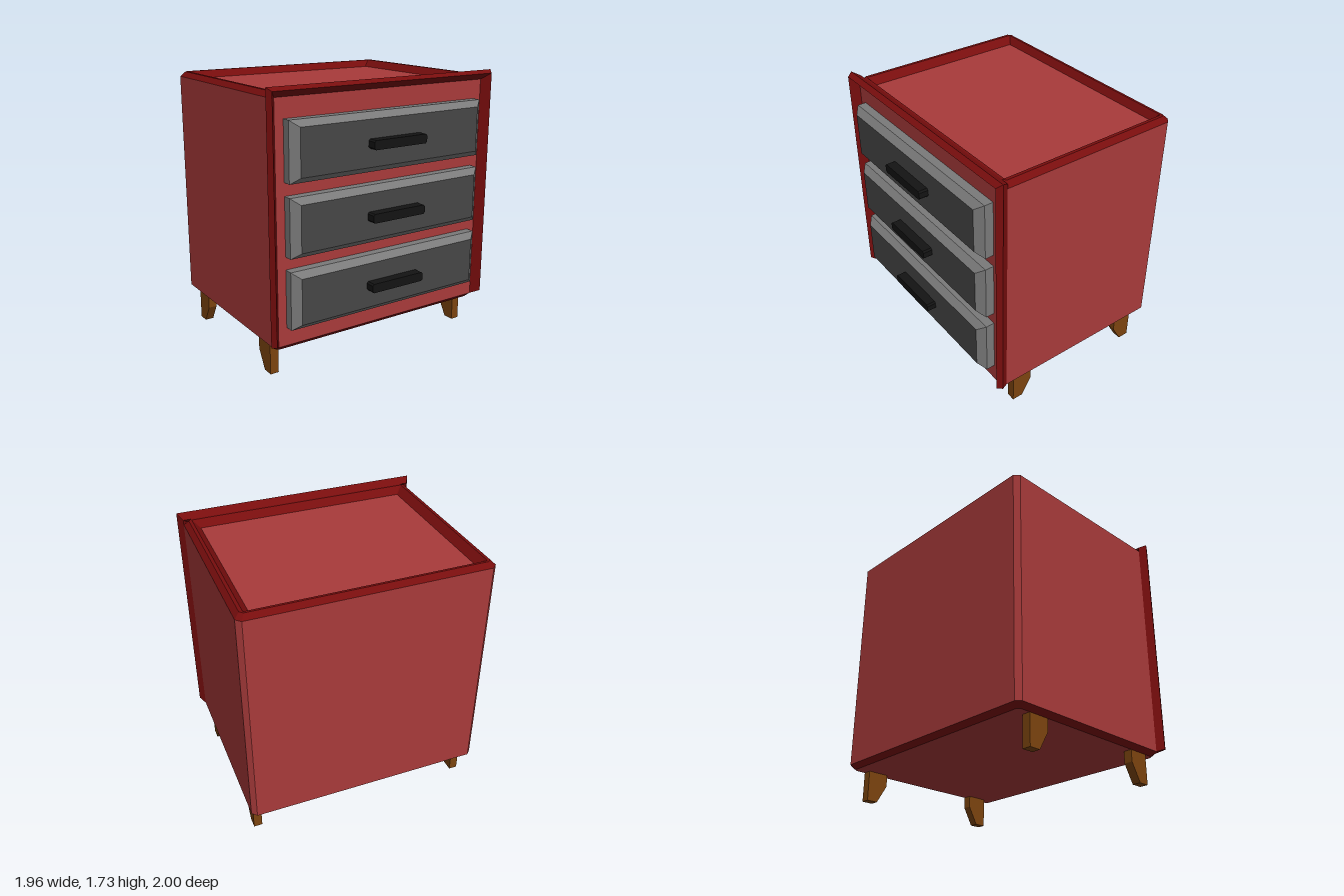
import * as THREE from 'three';

const mat = (name, color) => {
  const m = new THREE.MeshStandardMaterial({ color });
  m.name = name;
  return m;
};

// Flat-faced skin through a list of rings; caps: 's' start, 'e' end
function loft(rings, caps = '') {
  const pos = [];
  const tri = (...pts) => pts.forEach((p) => pos.push(...p));
  const n = rings[0].length;
  for (let r = 0; r < rings.length - 1; r++) {
    const lo = rings[r], hi = rings[r + 1];
    for (let i = 0; i < n; i++) {
      const j = (i + 1) % n;
      tri(lo[i], lo[j], hi[j]);
      tri(lo[i], hi[j], hi[i]);
    }
  }
  const first = rings[0], last = rings[rings.length - 1];
  for (let i = 1; i < n - 1; i++) {
    if (caps.includes('s')) tri(first[0], first[i + 1], first[i]);
    if (caps.includes('e')) tri(last[0], last[i], last[i + 1]);
  }
  const g = new THREE.BufferGeometry();
  g.setAttribute('position', new THREE.Float32BufferAttribute(pos, 3));
  g.computeVertexNormals();
  return g;
}

// Horizontal rectangle with cut corners
const plan = (y, hx, z0, z1, c) => [
  [hx - c, y, z1], [hx, y, z1 - c], [hx, y, z0 + c], [hx - c, y, z0],
  [-hx + c, y, z0], [-hx, y, z0 + c], [-hx, y, z1 - c], [-hx + c, y, z1],
];
// Upright rectangle facing +z
const upright = (z, hx, y, hy) => [[hx, y + hy, z], [-hx, y + hy, z], [-hx, y - hy, z], [hx, y - hy, z]];

export function createModel() {
  const model = new THREE.Group();
  model.name = 'drawerCabinet';
  const cabinet = new THREE.Group();
  cabinet.name = 'cabinet';
  cabinet.rotation.y = 0.878; // stands turned on its spot
  model.add(cabinet);

  const panel = mat('redPanel', 0xa83a3a);
  const trim = mat('darkRedTrim', 0x780d0d);
  const grey = mat('drawerBevelGrey', 0x7a7a7a);
  const charcoal = mat('drawerFaceCharcoal', 0x464646);
  const black = mat('handleBlack', 0x131313);
  const wood = mat('legWood', 0x7c440f);

  const add = (name, geometry, material, parent = cabinet) => {
    const mesh = new THREE.Mesh(geometry, material);
    mesh.name = name;
    parent.add(mesh);
    return mesh;
  };

  // Carcass: bottom, bevels, walls and recessed top
  const base = plan(0.19, 0.745, -0.62, 0.54, 0.02);
  const wallLow = plan(0.22, 0.775, -0.65, 0.57, 0.03);
  const wallHigh = plan(1.67, 0.775, -0.65, 0.57, 0.03);
  const rimOuter = plan(1.70, 0.745, -0.62, 0.54, 0.02);
  const rimInner = plan(1.70, 0.725, -0.605, 0.525, 0.004);
  const topEdge = plan(1.655, 0.68, -0.575, 0.485, 0.004);
  add('bottomPanel', loft([base], 's'), panel);
  add('bottomBevel', loft([base, wallLow]), trim);
  add('walls', loft([wallLow, wallHigh]), panel);
  add('topRim', loft([wallHigh, rimOuter, rimInner, topEdge]), trim);
  add('topPanel', loft([topEdge], 'e'), panel);

  // Raised front frame along both sides and the top: [outward, z, foot height]
  const profile = [[0, 0.54, 0.22], [0.03, 0.59, 0.24], [0.01, 0.625, 0.25], [-0.03, 0.57, 0.22]];
  const station = (side, atTop) => profile.map(([d, z, foot]) => [side * (0.775 + d), atTop ? 1.7 + d : foot, z]);
  add('frontFrame', loft([station(-1, false), station(-1, true), station(1, true), station(1, false)], 'se'), trim);

  // Handle: bar with slightly rounded ends
  const w = 0.19, h = 0.028, r = 0.01;
  const bar = new THREE.Shape();
  bar.moveTo(-w + r, -h).lineTo(w - r, -h).lineTo(w, -h + r).lineTo(w, h - r)
    .lineTo(w - r, h).lineTo(-w + r, h).lineTo(-w, h - r).lineTo(-w, -h + r);
  const handleGeo = new THREE.ExtrudeGeometry(bar, { depth: 0.065, bevelEnabled: false });

  // Three bevelled drawers
  [0.511, 0.943, 1.375].forEach((y, i) => {
    const drawer = new THREE.Group();
    drawer.name = `drawer${i + 1}`;
    cabinet.add(drawer);
    const face = upright(0.665, 0.64, y, 0.14);
    add('drawerBevel', loft([upright(0.56, 0.69, y, 0.177), upright(0.625, 0.69, y, 0.177), face]), grey, drawer);
    add('drawerFace', loft([face], 'e'), charcoal, drawer);
    add('handle', handleGeo, black, drawer).position.set(0, y, 0.66);
  });

  // Legs: straight outer edge, tapered inner edge
  const legRing = (y, x0, zOut, zIn) => {
    const [a, b] = [Math.min(zOut, zIn), Math.max(zOut, zIn)];
    return [[x0 + 0.055, y, b], [x0 + 0.055, y, a], [x0, y, a], [x0, y, b]];
  };
  for (const x0 of [-0.745, 0.69]) {
    for (const [name, zOut, dir] of [['frontLeg', 0.463, -1], ['backLeg', -0.537, 1]]) {
      const ring = (y, width) => legRing(y, x0, zOut, zOut + dir * width);
      add(name, loft([ring(0, 0.072), ring(0.115, 0.138), ring(0.195, 0.138)], 'se'), wood);
    }
  }
  return model;
}
